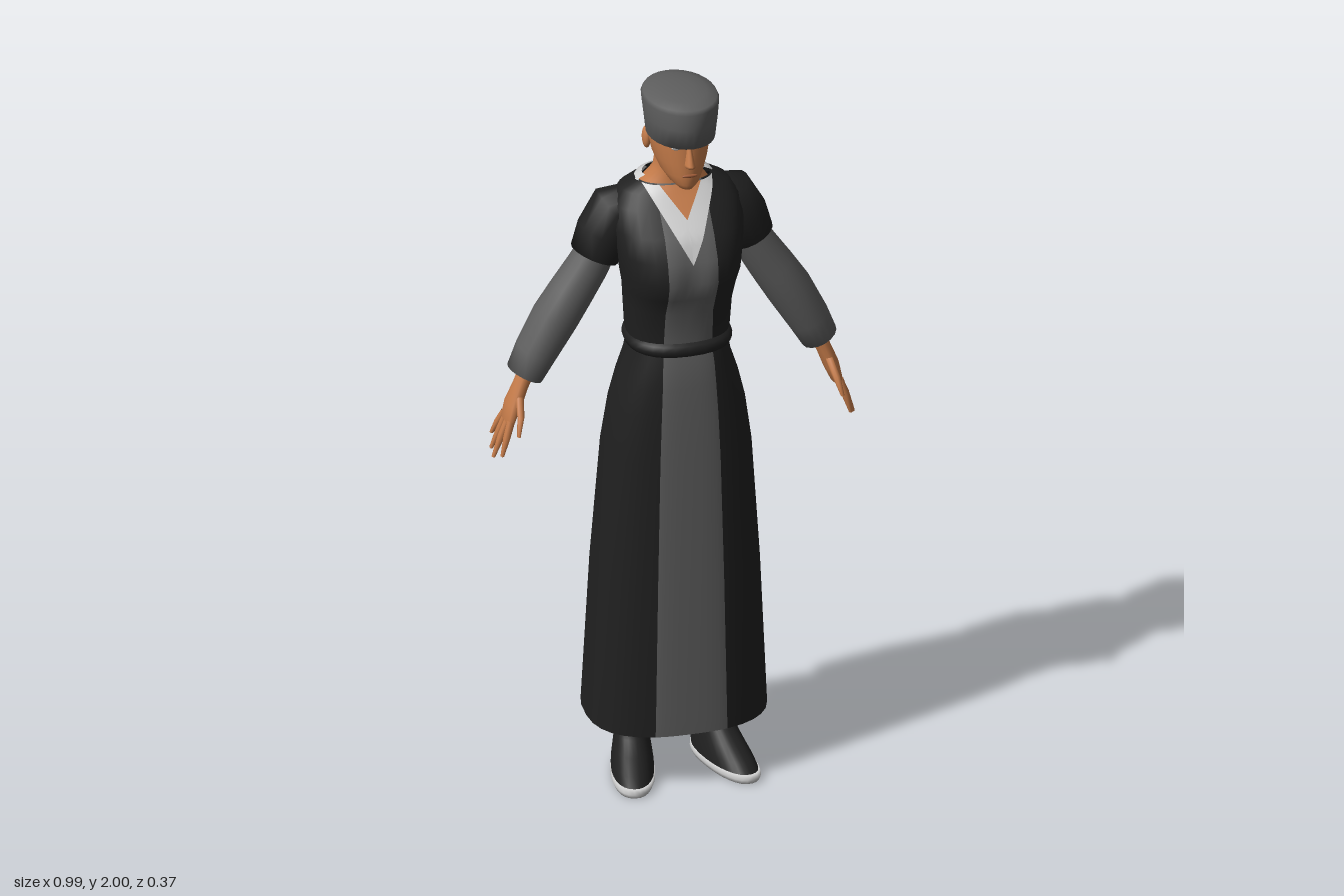
import * as THREE from 'three';

const mat = (name, color, side = THREE.FrontSide) => {
  const m = new THREE.MeshStandardMaterial({ color, side });
  m.name = name;
  return m;
};

// Grid of points (rows x columns); columns in the first `panel` strips use material 1.
function grid(rows, closed = true, panel = 0) {
  const n = rows[0].length, pos = [], main = [], front = [];
  rows.forEach(r => r.forEach(p => pos.push(...p)));
  for (let r = 0; r < rows.length - 1; r++) {
    for (let c = 0; c < (closed ? n : n - 1); c++) {
      const d = (c + 1) % n, a = r * n + c, b = r * n + d;
      (c < panel ? front : main).push(a, b, b + n, a, b + n, a + n);
    }
  }
  const g = new THREE.BufferGeometry();
  g.setAttribute('position', new THREE.Float32BufferAttribute(pos, 3));
  g.setIndex([...main, ...front]);
  if (panel) {
    g.addGroup(0, main.length, 0);
    g.addGroup(main.length, front.length, 1);
  }
  g.computeVertexNormals();
  return g;
}

const spow = (v, e) => Math.sign(v) * Math.abs(v) ** e;
const dent = (x, d = 0) => d * Math.exp(-((x / 0.035) ** 2));

// Stacked rings [y, half width, front z, back z, panel half width, centre dent].
function loft(rings, { p = 2, panel = 0, n = 28, tilt = 0 } = {}) {
  return grid(rings.map(([y, rx, zf, zb, w = 0, d = 0], i) => {
    const cz = (zf + zb) / 2, rz = (zf - zb) / 2, row = [];
    const a0 = panel ? Math.asin((w / rx) ** (p / 2)) : 0;
    for (let c = 0; c < n + panel; c++) {
      const a = c < panel ? -a0 + 2 * a0 * c / panel
        : a0 + (2 * Math.PI - 2 * a0) * (c - panel) / n;
      const x = rx * spow(Math.sin(a), 2 / p);
      let z = cz + rz * spow(Math.cos(a), 2 / p);
      const lift = i < 2 ? tilt * (zf - z) / (zf - zb || 1) : 0;
      if (Math.cos(a) > 0) z -= dent(x, d);
      row.push([x, y + lift, z]);
    }
    return row;
  }), true, panel);
}

// Limb along a path of [x, y, z, radius across, radius in z].
function limb(path, n = 16) {
  return grid(path.map(([x, y, z, ra, rz], i) => {
    const a = path[Math.max(i - 1, 0)], b = path[Math.min(i + 1, path.length - 1)];
    let tx = b[0] - a[0], ty = b[1] - a[1];
    const l = Math.hypot(tx, ty) || 1;
    tx /= l; ty /= l;
    return Array.from({ length: n }, (_, k) => {
      const t = 2 * Math.PI * k / n, c = Math.cos(t) * ra;
      return [x - ty * c, y + tx * c, z + Math.sin(t) * rz];
    });
  }));
}

function mirrored(g) {
  const m = g.clone().scale(-1, 1, 1), ix = m.index.array;
  for (let i = 0; i < ix.length; i += 3) [ix[i], ix[i + 1]] = [ix[i + 1], ix[i]];
  m.computeVertexNormals();
  return m;
}

export function createModel() {
  const root = new THREE.Group();
  root.name = 'robedFigure';
  const D = THREE.DoubleSide;
  const black = mat('blackCloth', 0x202020, D), grey = mat('greyCloth', 0x5e5e5e, D);
  const skin = mat('skin', 0xc67c4a, D), white = mat('paleTrim', 0xd2d2d2, D);
  const lip = mat('lips', 0xa05c38);
  const add = (name, g, m) => {
    const mesh = new THREE.Mesh(g, m);
    mesh.name = name;
    root.add(mesh);
  };
  const pair = (name, g, m) => {
    add(name + 'Left', g, m);
    add(name + 'Right', mirrored(g), m);
  };

  // Skirt and bodice with a grey front panel
  add('skirt', loft([
    [0.16, 0.243, 0.16, -0.19, 0.098], [0.2, 0.241, 0.16, -0.188, 0.097],
    [0.6, 0.222, 0.156, -0.17, 0.09], [0.95, 0.197, 0.15, -0.143, 0.082],
    [1.08, 0.178, 0.146, -0.128, 0.077], [1.16, 0.158, 0.142, -0.116, 0.073],
    [1.22, 0.138, 0.137, -0.107, 0.07], [1.27, 0.128, 0.125, -0.1, 0.066],
  ], { p: 2.6, panel: 8, tilt: 0.03 }), [black, grey]);
  const torso = [
    [1.24, 0.128, 0.128, -0.1, 0.067, 0], [1.3, 0.138, 0.132, -0.103, 0.066, 0],
    [1.38, 0.143, 0.142, -0.108, 0.065, 0], [1.43, 0.148, 0.168, -0.11, 0.065, 0.008],
    [1.48, 0.158, 0.188, -0.11, 0.067, 0.014], [1.54, 0.168, 0.176, -0.111, 0.068, 0.01],
    [1.6, 0.176, 0.142, -0.115, 0.067, 0], [1.66, 0.172, 0.09, -0.112, 0.067, 0],
    [1.695, 0.145, 0.062, -0.104, 0.067, 0], [1.718, 0.1, 0.045, -0.092, 0.06, 0],
  ];
  add('bodice', loft(torso, { p: 2.3, panel: 8 }), [black, grey]);
  add('belt', loft([
    [1.248, 0.128, 0.128, -0.1], [1.256, 0.139, 0.142, -0.113], [1.27, 0.143, 0.147, -0.117],
    [1.284, 0.139, 0.142, -0.113], [1.292, 0.128, 0.128, -0.1],
  ], { p: 2.4 }), black);

  // Collar and bare throat laid on the bodice surface
  const onChest = (x, y) => {
    let i = 0;
    while (i < torso.length - 2 && torso[i + 1][0] < y) i++;
    const t = (y - torso[i][0]) / (torso[i + 1][0] - torso[i][0]);
    const [, rx, zf, zb, , d] = torso[i].map((v, k) => v + (torso[i + 1][k] - v) * t);
    const f = Math.max(0, 1 - (Math.abs(x) / rx) ** 2.3) ** (1 / 2.3);
    return [x, y, (zf + zb) / 2 + (zf - zb) / 2 * f - dent(x, d) + 0.007];
  };
  const patch = (outer, inner) => {
    const rows = [];
    for (let r = 0; r <= 12; r++) {
      const o = outer(r / 12), q = inner(r / 12), row = [];
      for (let c = 0; c <= 5; c++) {
        const u = c / 5;
        row.push(onChest(q[0] + (o[0] - q[0]) * u, q[1] + (o[1] - q[1]) * u));
      }
      rows.push(row);
    }
    return grid(rows, false);
  };
  const edgeOut = t => [0.096 * t, 1.535 + 0.182 * t];
  const edgeIn = t => [0.056 * t, 1.64 + 0.077 * t];
  pair('collar', patch(edgeOut, edgeIn), white);
  pair('throat', patch(edgeIn, t => [0, edgeIn(t)[1]]), skin);
  const band = [0, 1, 2].map(r => Array.from({ length: 19 }, (_, k) => {
    const a = Math.PI * (0.42 + 1.16 * k / 18), e = [0.112, 0.101, 0.084][r];
    const y = [1.696 + (k % 2) * 0.01, 1.722, 1.728][r];
    return [e * Math.sin(a), y, -0.02 + e * 0.76 * Math.cos(a)];
  }));
  add('backCollar', grid(band, false), white);

  // Sleeves
  const az = -0.033;
  pair('shoulderCap', limb([
    [0.09, 1.635, az, 0.06, 0.065], [0.15, 1.614, az, 0.085, 0.078],
    [0.185, 1.56, az, 0.077, 0.072], [0.211, 1.502, az, 0.067, 0.065], [0.208, 1.508, az, 0.045, 0.045],
  ]), black);
  pair('sleeve', limb([
    [0.19, 1.54, az, 0.05, 0.05], [0.23, 1.47, az, 0.056, 0.056], [0.275, 1.4, az, 0.06, 0.061],
    [0.318, 1.333, az, 0.062, 0.067], [0.372, 1.238, az, 0.056, 0.063],
    [0.401, 1.18, az, 0.05, 0.056], [0.395, 1.192, az, 0.025, 0.03],
  ]), grey);

  // Hands with four fingers and a thumb
  pair('palm', limb([
    [0.39, 1.2, az, 0.022, 0.027], [0.413, 1.145, az, 0.02, 0.028], [0.433, 1.095, az, 0.021, 0.04],
    [0.447, 1.052, az, 0.015, 0.042], [0.452, 1.04, az, 0.004, 0.03],
  ], 12), skin);
  const digits = [
    [[0.447, 1.06, 0], [0.462, 1.015, 0.008], [0.475, 0.967, 0.012]],
    [[0.447, 1.06, -0.021], [0.469, 1.01, -0.02], [0.49, 0.953, -0.02]],
    [[0.447, 1.06, -0.043], [0.467, 1.01, -0.05], [0.486, 0.962, -0.056]],
    [[0.446, 1.06, -0.063], [0.462, 1.025, -0.076], [0.476, 0.99, -0.088]],
    [[0.42, 1.125, -0.012], [0.43, 1.085, 0.032], [0.441, 1.038, 0.052]],
  ];
  digits.forEach(([a, b, c], i) => pair(i < 4 ? 'finger' + (i + 1) : 'thumb', limb([
    [...a, 0.011, 0.012], [...b, 0.01, 0.011], [...c, 0.005, 0.006],
    [c[0], c[1] - 0.003, c[2], 0, 0],
  ], 8), skin));

  // Neck, head and face
  add('neck', loft([
    [1.69, 0.1, 0.05, -0.088], [1.718, 0.08, 0.046, -0.08], [1.745, 0.058, 0.046, -0.064],
    [1.78, 0.054, 0.05, -0.06], [1.84, 0.055, 0.05, -0.065],
  ]), skin);
  add('head', loft([
    [1.733, 0, 0.09, 0.09], [1.736, 0.022, 0.127, 0.05], [1.752, 0.04, 0.138, 0.005],
    [1.775, 0.056, 0.137, -0.035], [1.81, 0.07, 0.138, -0.064], [1.855, 0.08, 0.134, -0.077],
    [1.9, 0.084, 0.132, -0.08], [1.94, 0.08, 0.12, -0.08],
  ]), skin);
  add('nose', loft([
    [1.803, 0.008, 0.14, 0.12], [1.809, 0.015, 0.16, 0.11], [1.816, 0.013, 0.162, 0.11],
    [1.838, 0.01, 0.15, 0.11], [1.87, 0.006, 0.137, 0.11],
  ], { n: 12 }), skin);
  const blob = (x, y, z, sx, sy, sz) =>
    new THREE.SphereGeometry(1, 14, 10).scale(sx, sy, sz).translate(x, y, z);
  pair('ear', blob(0.08, 1.845, 0.005, 0.012, 0.032, 0.019), skin);
  pair('eye', blob(0.03, 1.861, 0.124, 0.016, 0.007, 0.006), white);
  add('mouth', blob(0, 1.78, 0.136, 0.022, 0.005, 0.005), lip);

  // Flared cap
  add('cap', loft([
    [1.88, 0.075, 0.12, -0.07], [1.876, 0.088, 0.174, -0.082], [1.93, 0.095, 0.179, -0.087],
    [1.975, 0.1, 0.178, -0.091], [1.985, 0.095, 0.17, -0.084], [1.995, 0.068, 0.135, -0.045],
    [2, 0.035, 0.09, 0], [2, 0, 0.045, 0.045],
  ], { tilt: -0.012 }), grey);

  // Shoes, soles and hidden trouser legs
  const foot = g => g.rotateY(0.24).translate(0.118, 0, 0);
  pair('sole', foot(loft([
    [0, 0, 0.03, 0.03], [0, 0.054, 0.178, -0.108], [0.012, 0.059, 0.184, -0.113],
    [0.024, 0.057, 0.178, -0.111], [0.024, 0, 0.03, 0.03],
  ], { p: 2.3 })), white);
  pair('shoe', foot(loft([
    [0.022, 0.057, 0.175, -0.11], [0.045, 0.055, 0.145, -0.11], [0.075, 0.05, 0.095, -0.107],
    [0.105, 0.045, 0.05, -0.103], [0.135, 0.041, 0.025, -0.102], [0.2, 0.042, 0.02, -0.102],
  ], { p: 2.2 })), black);
  pair('trouserLeg', loft([
    [0.175, 0.046, 0.01, -0.09], [0.19, 0.062, 0.028, -0.108], [0.24, 0.068, 0.035, -0.112],
    [0.55, 0.08, 0.05, -0.1], [0.6, 0, -0.02, -0.02],
  ]).translate(0.103, 0, 0), grey);
  return root;
}
